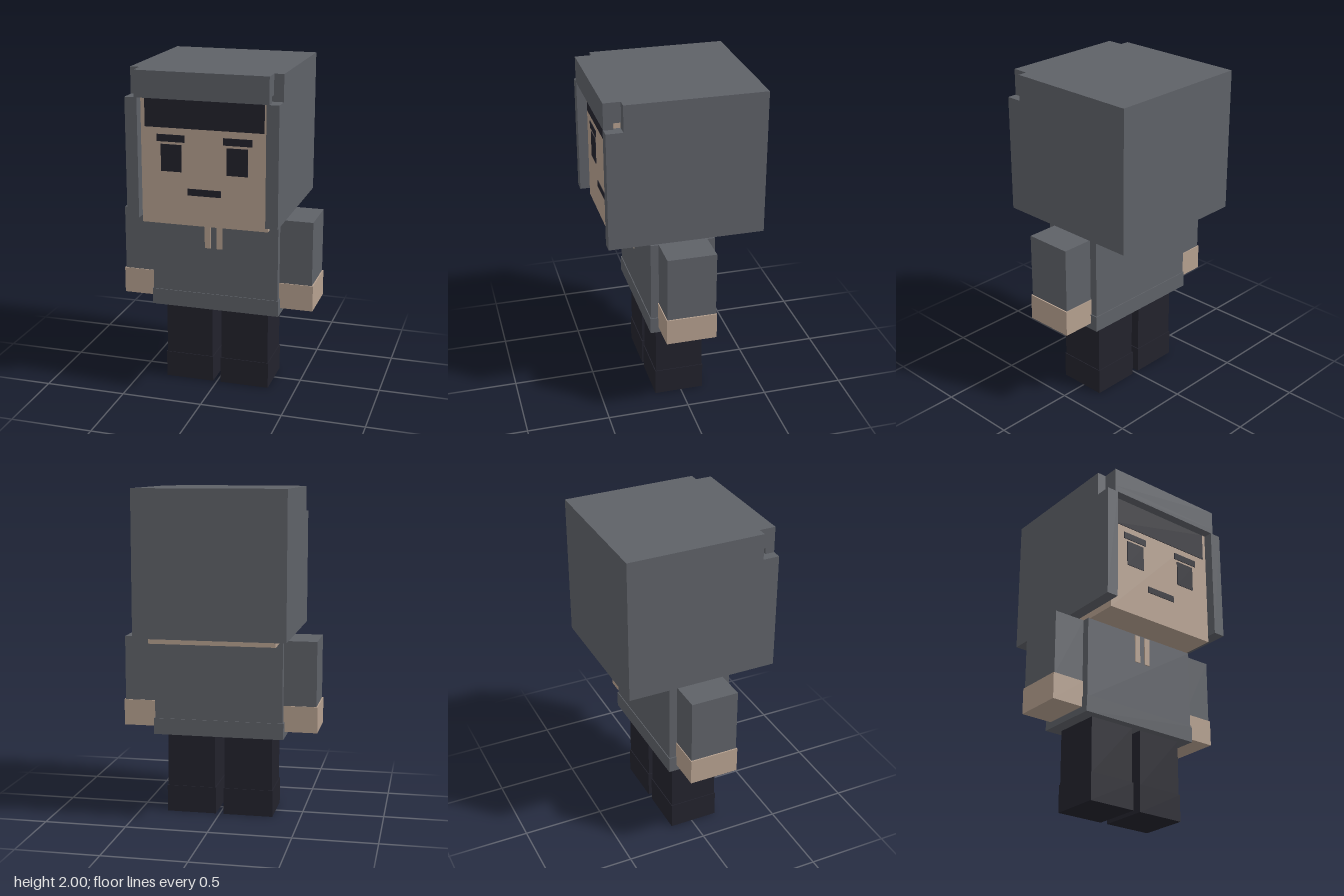
import * as THREE from 'three';

export function createModel() {
  const model = new THREE.Group();
  model.name = 'hoodedFigure';

  const material = (name, color) => {
    const m = new THREE.MeshStandardMaterial({ color });
    m.name = name;
    return m;
  };
  const grey = material('greyCloth', 0x5e6167);
  const skin = material('skin', 0xb5a08f);
  const dark = material('darkNavy', 0x22222c);

  // Box given by its lower and upper limits on each axis
  const box = (name, mat, [x0, x1], [y0, y1], [z0, z1]) => {
    const mesh = new THREE.Mesh(new THREE.BoxGeometry(x1 - x0, y1 - y0, z1 - z0), mat);
    mesh.position.set((x0 + x1) / 2, (y0 + y1) / 2, (z0 + z1) / 2);
    mesh.name = name;
    model.add(mesh);
  };
  // The same box on both sides of the body
  const pair = (name, mat, [x0, x1], y, z) => {
    box('left' + name, mat, [x0, x1], y, z);
    box('right' + name, mat, [-x1, -x0], y, z);
  };

  // Legs and shoes
  pair('Leg', dark, [0.03, 0.325], [0.16, 0.5], [-0.135, 0.16]);
  pair('Shoe', dark, [0.024, 0.33], [0, 0.165], [-0.14, 0.165]);

  // Sweater with a slightly wider hem
  box('torso', grey, [-0.393, 0.393], [0.59, 1.093], [-0.185, 0.205]);
  box('hem', grey, [-0.4, 0.4], [0.5, 0.6], [-0.19, 0.21]);
  pair('Drawstring', skin, [0.018, 0.055], [0.9, 1.075], [0.222, 0.228]);

  // Arms and hands
  pair('Sleeve', grey, [0.393, 0.592], [0.69, 1.095], [-0.137, 0.157]);
  pair('Hand', skin, [0.39, 0.6], [0.54, 0.7], [-0.142, 0.163]);

  // Head and painted face
  box('head', skin, [-0.38, 0.38], [1.093, 1.88], [-0.383, 0.405]);
  const face = [0.4, 0.409];
  box('fringe', dark, [-0.355, 0.355], [1.667, 1.845], face);
  pair('Eyebrow', dark, [0.115, 0.285], [1.585, 1.627], face);
  pair('Eye', dark, [0.135, 0.26], [1.41, 1.57], face);
  box('mouth', dark, [-0.1, 0.1], [1.275, 1.315], face);

  // Hood: panels round the head, open at the front, notched at the upper front corners
  pair('HoodSide', grey, [0.38, 0.453], [1.133, 2], [-0.463, 0.365]);
  pair('HoodEdge', grey, [0.38, 0.453], [1.133, 1.843], [0.365, 0.465]);
  box('hoodBack', grey, [-0.38, 0.38], [1.133, 2], [-0.463, -0.383]);
  box('hoodTop', grey, [-0.38, 0.38], [1.88, 2], [-0.383, 0.365]);
  box('hoodTopFront', grey, [-0.396, 0.396], [1.88, 2], [0.365, 0.465]);
  box('hoodBrim', grey, [-0.396, 0.396], [1.843, 1.88], [0.409, 0.465]);

  return model;
}
